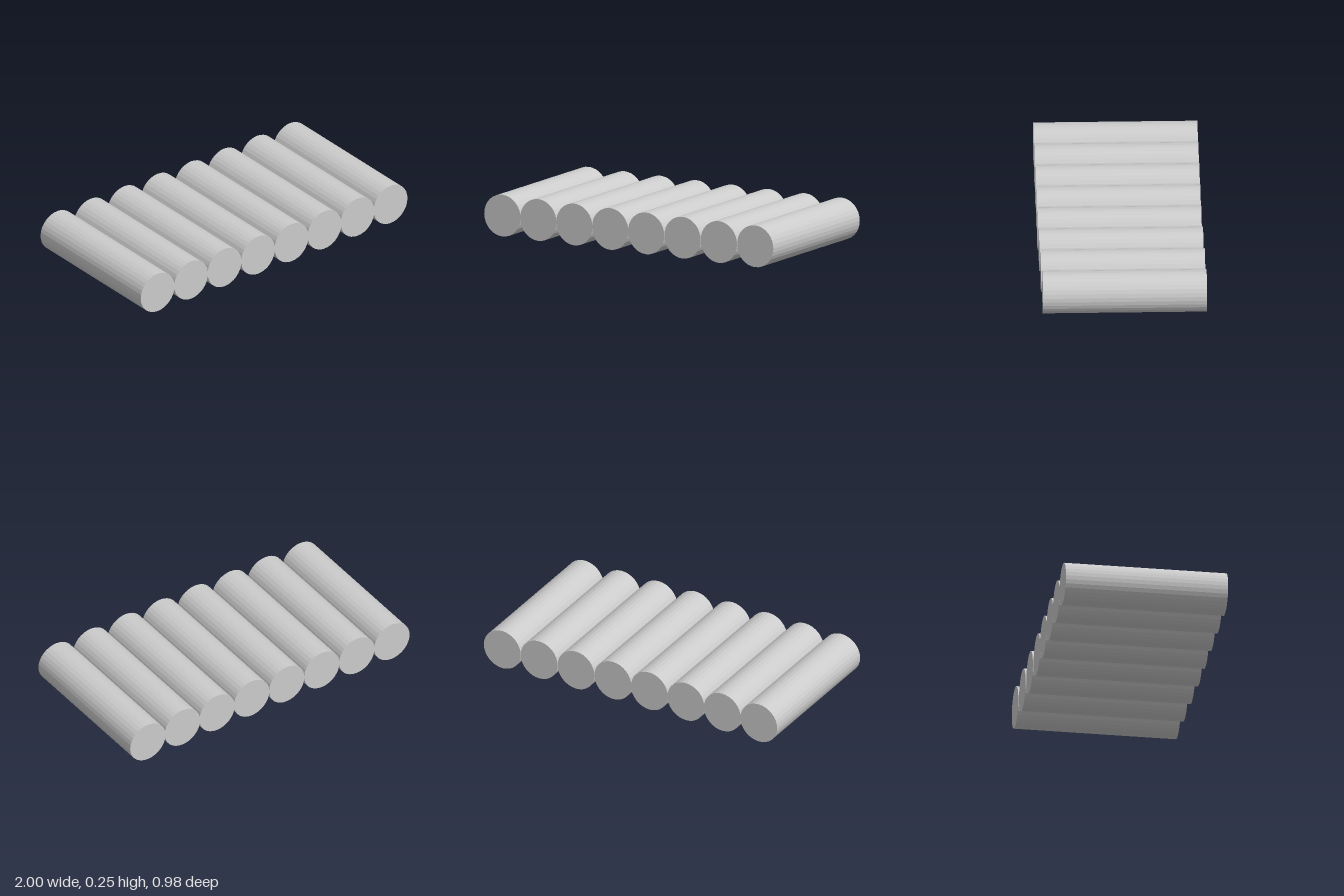
import * as THREE from 'three';

export function createModel() {
  const group = new THREE.Group();
  group.name = 'logRaft';

  const radius = 0.126;
  const length = 0.97;
  const count = 8;
  const spacing = (2 - 2 * radius) / (count - 1);

  // one faceted round log, lying along z
  const geometry = new THREE.CylinderGeometry(radius, radius, length, 32);
  geometry.rotateX(Math.PI / 2);
  const material = new THREE.MeshStandardMaterial({ color: 0xcccccc, flatShading: true });

  // row of logs side by side; the last three are each set slightly further back
  for (let i = 0; i < count; i++) {
    const log = new THREE.Mesh(geometry, material);
    log.name = `log${i + 1}`;
    const setBack = Math.max(0, i - 4) * 0.0047;
    log.position.set(-1 + radius + i * spacing, radius, 0.007 - setBack);
    group.add(log);
  }
  return group;
}
